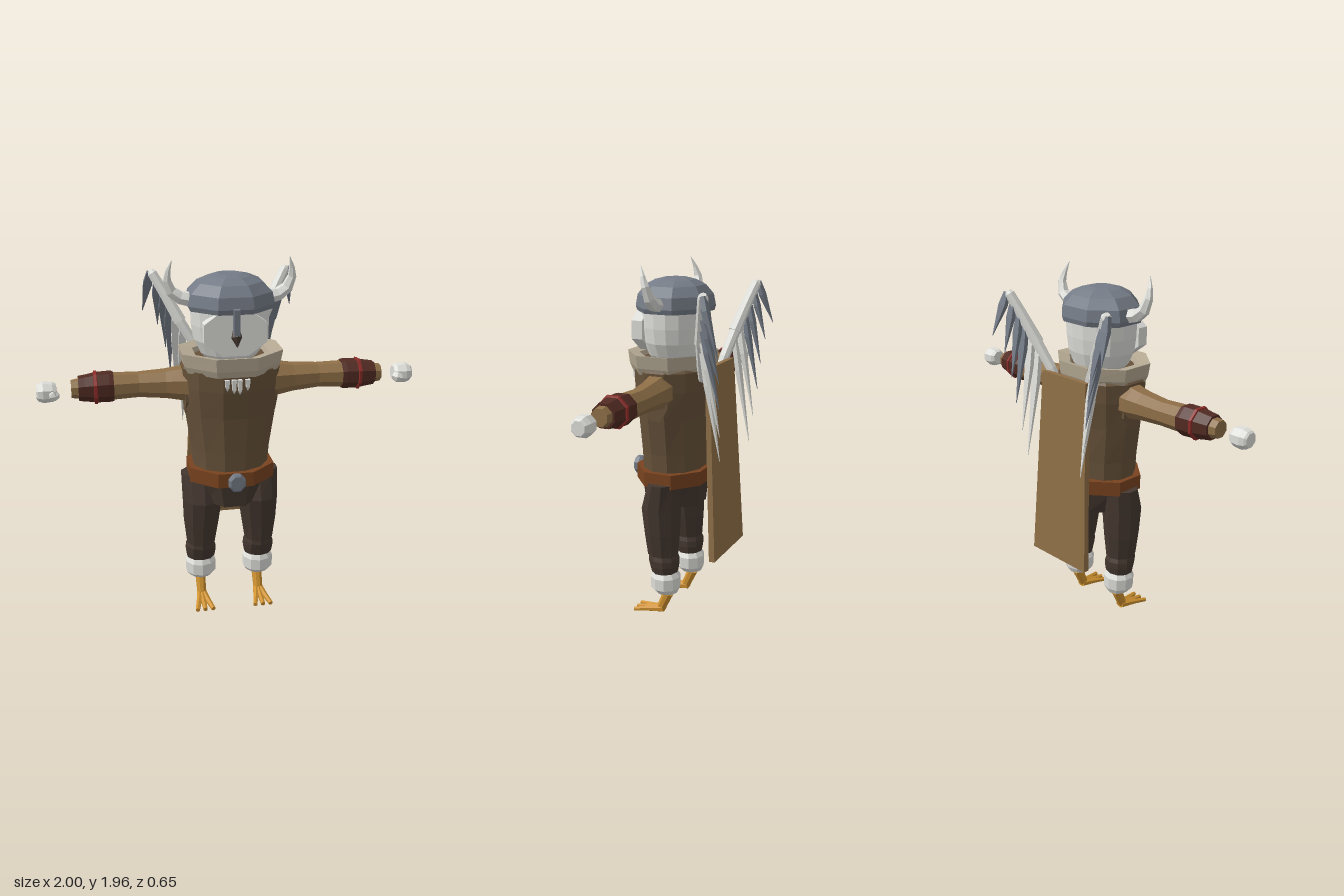
import * as THREE from 'three';

const V = (x, y, z) => new THREE.Vector3(x, y, z);
const X = V(1, 0, 0), Y = V(0, 1, 0), Z = V(0, 0, 1);

// Faceted solid through rings [x, y, z, radiusU, radiusV]; a fixed axis keeps all rings parallel
function loft(rings, n = 8, axis = null, ref = Z) {
  const pos = [], idx = [], k = 1 / Math.cos(Math.PI / n), last = rings.length - 1;
  const at = i => V(...rings[i].slice(0, 3));
  rings.forEach((r, i) => {
    const t = axis || at(Math.min(i + 1, last)).sub(at(Math.max(i - 1, 0))).normalize();
    const u = t.clone().cross(ref).normalize(), v = u.clone().cross(t);
    for (let j = 0; j < n; j++) {
      const a = (j + 0.5) / n * Math.PI * 2;
      const p = at(i).addScaledVector(u, Math.cos(a) * r[3] * k).addScaledVector(v, Math.sin(a) * (r[4] ?? r[3]) * k);
      pos.push(p.x, p.y, p.z);
    }
  });
  pos.push(...rings[0].slice(0, 3), ...rings[last].slice(0, 3));
  const c0 = rings.length * n, c1 = c0 + 1;
  for (let j = 0; j < n; j++) {
    const j2 = (j + 1) % n;
    for (let i = 0; i < last; i++) {
      const a = i * n + j, b = i * n + j2;
      idx.push(a, a + n, b, b, a + n, b + n);
    }
    idx.push(c0, j, j2, c1, last * n + j2, last * n + j);
  }
  const g = new THREE.BufferGeometry();
  g.setAttribute('position', new THREE.Float32BufferAttribute(pos, 3));
  g.setIndex(idx);
  const flat = g.toNonIndexed();
  flat.computeVertexNormals();
  return flat;
}

// Mirror across x = 0, keeping faces outward
function mirror(geo) {
  const g = geo.index ? geo.toNonIndexed() : geo.clone(), p = g.attributes.position;
  for (let i = 0; i < p.count; i += 3) {
    const [a, b, c] = [0, 1, 2].map(k => V(-p.getX(i + k), p.getY(i + k), p.getZ(i + k)));
    [a, c, b].forEach((q, k) => p.setXYZ(i + k, q.x, q.y, q.z));
  }
  g.computeVertexNormals();
  return g;
}

export function createModel() {
  const model = new THREE.Group();
  model.name = 'hornedBirdWarrior';
  const material = (name, color) => {
    const m = new THREE.MeshStandardMaterial({ color });
    m.name = name;
    return m;
  };
  const tunic = material('tunicBrown', 0x67523a), sleeve = material('sleeveTan', 0x8f7048);
  const leather = material('darkLeather', 0x512b22), red = material('redCord', 0x8c2c28);
  const white = material('whitePlumage', 0xdededa), fur = material('furBeige', 0xb5a993);
  const pants = material('trouserBrown', 0x44372f), beltMat = material('beltBrown', 0x78431f);
  const metal = material('metalGrey', 0x757c87), orange = material('footOrange', 0xcf9230);

  const add = (name, geo, mat) => {
    const m = new THREE.Mesh(geo, mat);
    m.name = name;
    model.add(m);
  };
  const pair = (name, geo, mat) => {
    add(name + 'Left', geo, mat);
    add(name + 'Right', mirror(geo), mat);
  };
  // Upright body ring: height, half width, half depth
  const body = (rows, n, cz = 0.085) => loft(rows.map(([y, rx, rz]) => [0, y, cz, rx, rz]), n, Y);

  // Torso, pelvis and belt
  add('torso', body([[0.78, 0.195, 0.165], [0.95, 0.208, 0.17], [1.15, 0.237, 0.18], [1.3, 0.252, 0.2],
    [1.4, 0.255, 0.203], [1.45, 0.2, 0.165]], 12), tunic);
  add('pelvis', body([[0.64, 0.14, 0.16], [0.78, 0.187, 0.168]], 8), pants);
  add('belt', body([[0.77, 0.228, 0.192], [0.85, 0.228, 0.192]], 8), beltMat);
  add('buckle', loft([[0, 0.812, 0.27, 0.03], [0, 0.812, 0.3, 0.044, 0.048], [0, 0.812, 0.322, 0.044, 0.048],
    [0, 0.812, 0.33, 0.034, 0.038]], 8, Z, Y), metal);

  // Fur collar and the small fangs on the chest
  add('collar', body([[1.385, 0.235, 0.2], [1.42, 0.25, 0.212], [1.488, 0.262, 0.218], [1.475, 0.19, 0.165],
    [1.42, 0.17, 0.14]], 8, 0.095), fur);
  for (const [x, y] of [[-0.05, 1.315], [-0.015, 1.3], [0.015, 1.295], [0.055, 1.315]])
    add('chestFang', loft([[x, 1.375, 0.296, 0.012], [x, y + 0.02, 0.298, 0.009], [x, y, 0.295, 0.001]], 4), white);

  // Head, face, helmet and beak
  add('head', body([[1.43, 0.12, 0.12], [1.47, 0.155, 0.14], [1.54, 0.187, 0.16], [1.62, 0.198, 0.168],
    [1.73, 0.2, 0.17]], 16, 0.08), white);
  add('facePlate', loft([[0, 1.605, 0.2, 0.16, 0.117], [0, 1.605, 0.262, 0.16, 0.117]], 8, Z, Y), white);
  add('helmet', body([[1.7, 0.212, 0.186], [1.725, 0.22, 0.192], [1.785, 0.207, 0.182], [1.835, 0.16, 0.145],
    [1.862, 0.1, 0.1], [1.872, 0.06, 0.06]], 8, 0.08), metal);
  add('noseGuard', new THREE.BoxGeometry(0.03, 0.135, 0.045).translate(0, 1.665, 0.28), metal);
  add('beak', loft([[0, 1.618, 0.265, 0.018, 0.015], [0, 1.59, 0.285, 0.025, 0.022], [0, 1.545, 0.302, 0.002]], 6), pants);
  pair('horn', loft([[0.19, 1.745, 0.085, 0.036], [0.255, 1.757, 0.085, 0.031], [0.3, 1.79, 0.085, 0.027],
    [0.321, 1.85, 0.095, 0.02], [0.315, 1.9, 0.11, 0.012], [0.298, 1.955, 0.13, 0.001]], 6), white);

  // Arms: shoulder patch, sleeve, bracer, cord and hand
  const arm = (rows, n = 8) => loft(rows.map(([x, r, z = 0.085, y = 1.303, rz = r]) => [x, y, z, r, rz]), n, X);
  pair('shoulder', arm([[0.15, 0.13, 0.085, 1.27, 0.08], [0.243, 0.125, 0.085, 1.27, 0.072]]), tunic);
  pair('sleeve', arm([[0.2, 0.09], [0.27, 0.083, 0.075], [0.34, 0.072, 0.07], [0.48, 0.062, 0.062],
    [0.62, 0.066, 0.068], [0.78, 0.05, 0.078], [0.825, 0.043, 0.08]]), sleeve);
  pair('bracer', arm([[0.608, 0.072, 0.068], [0.63, 0.075, 0.068], [0.7, 0.073, 0.073], [0.755, 0.064, 0.076],
    [0.788, 0.06, 0.078]]), leather);
  pair('bracerCord', arm([[0.69, 0.07, 0.073], [0.694, 0.08, 0.073], [0.708, 0.079, 0.073], [0.712, 0.068, 0.073]]), red);
  pair('hand', arm([[0.9, 0.036, 0.085, 1.297], [0.918, 0.047, 0.085, 1.295], [0.965, 0.051, 0.085, 1.295],
    [0.99, 0.043, 0.085, 1.295], [1, 0.034, 0.085, 1.295]]), white);
  pair('thumb', loft([[0.9, 1.29, 0.115, 0.02], [0.915, 1.287, 0.133, 0.024, 0.018], [0.935, 1.285, 0.135, 0.016]], 6), white);

  // Legs: trousers, gathered hem, feather cuff
  const leg = (rows, n = 8) => loft(rows.map(([y, x, rx, z, rz]) => [x, y, z, rx, rz]), n, Y);
  pair('trouserLeg', leg([[0.79, 0.152, 0.112, 0.075, 0.084], [0.64, 0.155, 0.105, 0.098, 0.105],
    [0.5, 0.162, 0.093, 0.09, 0.095], [0.37, 0.165, 0.076, 0.085, 0.083]].reverse(), 10), pants);
  pair('trouserHem', leg([[0.27, 0.165, 0.076, 0.073, 0.07], [0.31, 0.165, 0.082, 0.075, 0.078],
    [0.345, 0.165, 0.08, 0.08, 0.083], [0.375, 0.165, 0.07, 0.085, 0.075]], 10), pants);
  pair('featherCuff', leg([[0.145, 0.165, 0.058, 0.062, 0.058], [0.175, 0.165, 0.081, 0.07, 0.079],
    [0.24, 0.165, 0.082, 0.071, 0.08], [0.268, 0.165, 0.066, 0.073, 0.066]], 10), white);

  // Bird feet
  pair('ankle', loft([[0.165, 0.035, 0.1, 0.024], [0.165, 0.135, 0.055, 0.028]], 8), orange);
  for (const dx of [-0.045, 0, 0.045])
    pair('toe', loft([[0.165 + dx * 0.15, 0.034, 0.085, 0.019], [0.165 + dx * 0.55, 0.024, 0.17, 0.014],
      [0.165 + dx, 0.013, 0.25, 0.011]], 6, null, Y), orange);

  // Wings: jointed bone with hanging feathers
  pair('wingRootBone', loft([[0.11, 1.36, -0.125, 0.02], [0.15, 1.44, -0.14, 0.026], [0.245, 1.6, -0.175, 0.028]]), white);
  pair('wingTipBone', loft([[0.225, 1.57, -0.168, 0.033], [0.3, 1.71, -0.205, 0.028], [0.362, 1.82, -0.237, 0.025],
    [0.37, 1.835, -0.242, 0.014]]), white);
  const feathers = [
    [[0.375, 1.825, -0.242], [0.415, 1.6, -0.32], metal],
    [[0.343, 1.775, -0.23], [0.335, 1.52, -0.305], metal],
    [[0.313, 1.715, -0.215], [0.295, 1.39, -0.295], metal],
    [[0.283, 1.66, -0.2], [0.272, 1.25, -0.288], metal],
    [[0.25, 1.6, -0.185], [0.24, 1.1, -0.278], white],
    [[0.215, 1.53, -0.17], [0.21, 0.96, -0.268], white],
  ];
  for (const [a, b, mat] of feathers) {
    const mix = t => a.map((v, i) => v + (b[i] - v) * t);
    pair('wingFeather', loft([[...a, 0.016, 0.012], [...mix(0.3), 0.024, 0.012], [...b, 0.001, 0.001]], 4), mat);
  }

  // Board hanging down the back, wider at the foot
  add('backBoard', loft([[0, 0.39, -0.227, 0.21, 0.016], [0, 1.435, -0.175, 0.165, 0.014]], 4, Y), sleeve);
  return model;
}
